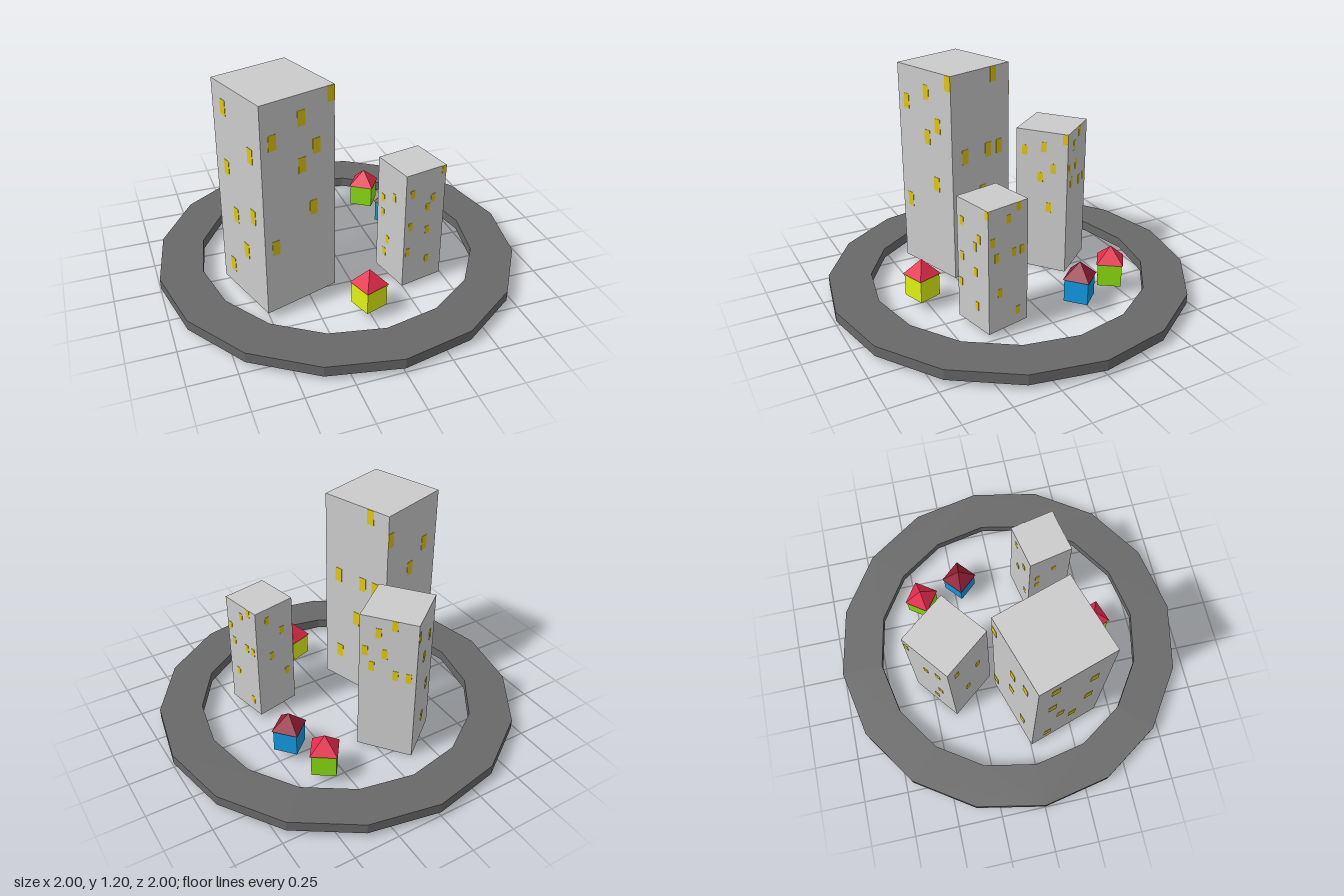
import * as THREE from 'three';
import { mergeGeometries } from 'three/addons/utils/BufferGeometryUtils.js';

const paint = (color) => new THREE.MeshStandardMaterial({ color, flatShading: true, side: THREE.DoubleSide });
const concrete = paint(0xcccccc);
const glow = paint(0xe0c80a);
const asphalt = paint(0x696969);

function part(name, geometry, material, parent) {
  const mesh = new THREE.Mesh(geometry, material);
  mesh.name = name;
  parent.add(mesh);
}

// Square box with a lid but no floor
function hollowBox(side, base, top) {
  const box = new THREE.BoxGeometry(side, top - base, side);
  const index = Array.from(box.index.array);
  index.splice(18, 6); // the downward face
  box.setIndex(index);
  box.clearGroups();
  return box.translate(0, (top + base) / 2, 0);
}

// Square tower; faces = lists of [u, y] windows (u runs left to right seen from
// outside) for the front, right, back and left wall of the unrotated box.
function tower(name, { x, z, turn, side, base, top, win, faces }) {
  const group = new THREE.Group();
  group.name = name;
  group.position.set(x, 0, z);
  group.rotation.y = turn;
  part(name + 'Walls', hollowBox(side, base, top), concrete, group);

  // Thin panes set through the wall so they show inside and out
  const [w, h] = win;
  const limit = (side - w) / 2;
  const panes = faces.flatMap((list, i) => list.map(([u, y]) => {
    const pane = new THREE.BoxGeometry(w, h, 0.004);
    const px = THREE.MathUtils.clamp((u - 0.5) * side, -limit, limit);
    return pane.translate(px, y, side / 2).rotateY(i * Math.PI / 2);
  }));
  part(name + 'Windows', mergeGeometries(panes), glow, group);
  return group;
}

// Small house: box body with a pyramid roof
function house(name, x, z, turn, bodyColor, roofColor) {
  const group = new THREE.Group();
  group.name = name;
  group.position.set(x, 0, z);
  group.rotation.y = turn;
  const eaves = 0.18, ridge = 0.267;
  part(name + 'Body', hollowBox(0.13, 0.052, eaves), paint(bodyColor), group);
  const roof = new THREE.ConeGeometry(0.101, ridge - eaves, 4, 1, true, Math.PI / 4);
  roof.translate(0, (ridge + eaves) / 2, 0);
  part(name + 'Roof', roof, paint(roofColor), group);
  return group;
}

// Sixteen-sided ring road
function ringRoad() {
  const group = new THREE.Group();
  group.name = 'ringRoad';
  const polygon = (r) => Array.from({ length: 16 }, (_, i) => {
    const a = i * Math.PI / 8;
    return new THREE.Vector2(r * Math.cos(a), r * Math.sin(a));
  });
  const shape = new THREE.Shape(polygon(1));
  shape.holes.push(new THREE.Path(polygon(0.765)));
  const slab = new THREE.ExtrudeGeometry(shape, { depth: 0.057, bevelEnabled: false });
  slab.rotateX(-Math.PI / 2).translate(0, 0.025, 0);
  part('roadSlab', slab, asphalt, group);
  return group;
}

export function createModel() {
  const model = new THREE.Group();
  model.name = 'ringTown';
  model.add(ringRoad());

  model.add(tower('tallTower', {
    x: -0.372, z: 0.14, turn: 0.311, side: 0.427, base: 0.035, top: 1.203, win: [0.044, 0.082],
    faces: [
      [[0.15, 1], [0.54, 1.08], [0.74, 0.91], [0.54, 0.83], [0.96, 1.16], [0.15, 0.415], [0.69, 0.57]],
      [[0.72, 1.16], [0.22, 0.74], [0.62, 0.74], [0.82, 0.74], [0.52, 0.5], [0.25, 0.23]],
      [[0.05, 1.06], [0.47, 0.82], [0.75, 0.93], [0.45, 0.53], [0.05, 0.2], [0.73, 0.28]],
      [[0.23, 1.08], [0.77, 0.91], [0.23, 0.75], [0.38, 0.5], [0.77, 0.57], [0.58, 0.33], [0.23, 0.16]],
    ],
  }));

  model.add(tower('middleTower', {
    x: -0.148, z: -0.361, turn: 0.67, side: 0.307, base: 0, top: 0.84, win: [0.031, 0.057],
    faces: [
      [[0.17, 0.72], [0.17, 0.25], [0.54, 0.75], [0.73, 0.63], [0.48, 0.57], [0.65, 0.39], [0.97, 0.81]],
      [[0.33, 0.75], [0.1, 0.63], [0.44, 0.63], [0.22, 0.54], [0.64, 0.51], [0.87, 0.51], [0.6, 0.81]],
      [[0.07, 0.76], [0.73, 0.65], [0.44, 0.57], [0.7, 0.34], [0.55, 0.15]],
      [[0.2, 0.7], [0.7, 0.5], [0.4, 0.3]],
    ],
  }));

  model.add(tower('smallTower', {
    x: 0.331, z: 0.262, turn: 0.21, side: 0.25, base: 0.025, top: 0.703, win: [0.026, 0.046],
    faces: [
      [[0.17, 0.585], [0.95, 0.68], [0.7, 0.53], [0.57, 0.48], [0.59, 0.34], [0.15, 0.39], [0.1, 0.235], [0.62, 0.15]],
      [[0.5, 0.63], [0.1, 0.53], [0.75, 0.68], [0.2, 0.44], [0.64, 0.44], [0.85, 0.44], [0.28, 0.24], [0.75, 0.1]],
      [[0.3, 0.63], [0.7, 0.53], [0.4, 0.39], [0.8, 0.24]],
      [[0.2, 0.48], [0.6, 0.53], [0.2, 0.39], [0.4, 0.24], [0.3, 0.15]],
    ],
  }));

  model.add(house('yellowHouse', 0, 0.519, 0.33, 0xe0f410, 0xe62b4b));
  model.add(house('blueHouse', 0.418, -0.21, 0.72, 0x1199e0, 0x961d36));
  model.add(house('greenHouse', 0.343, -0.455, 0.96, 0x8ce010, 0xe62b4b));
  return model;
}
